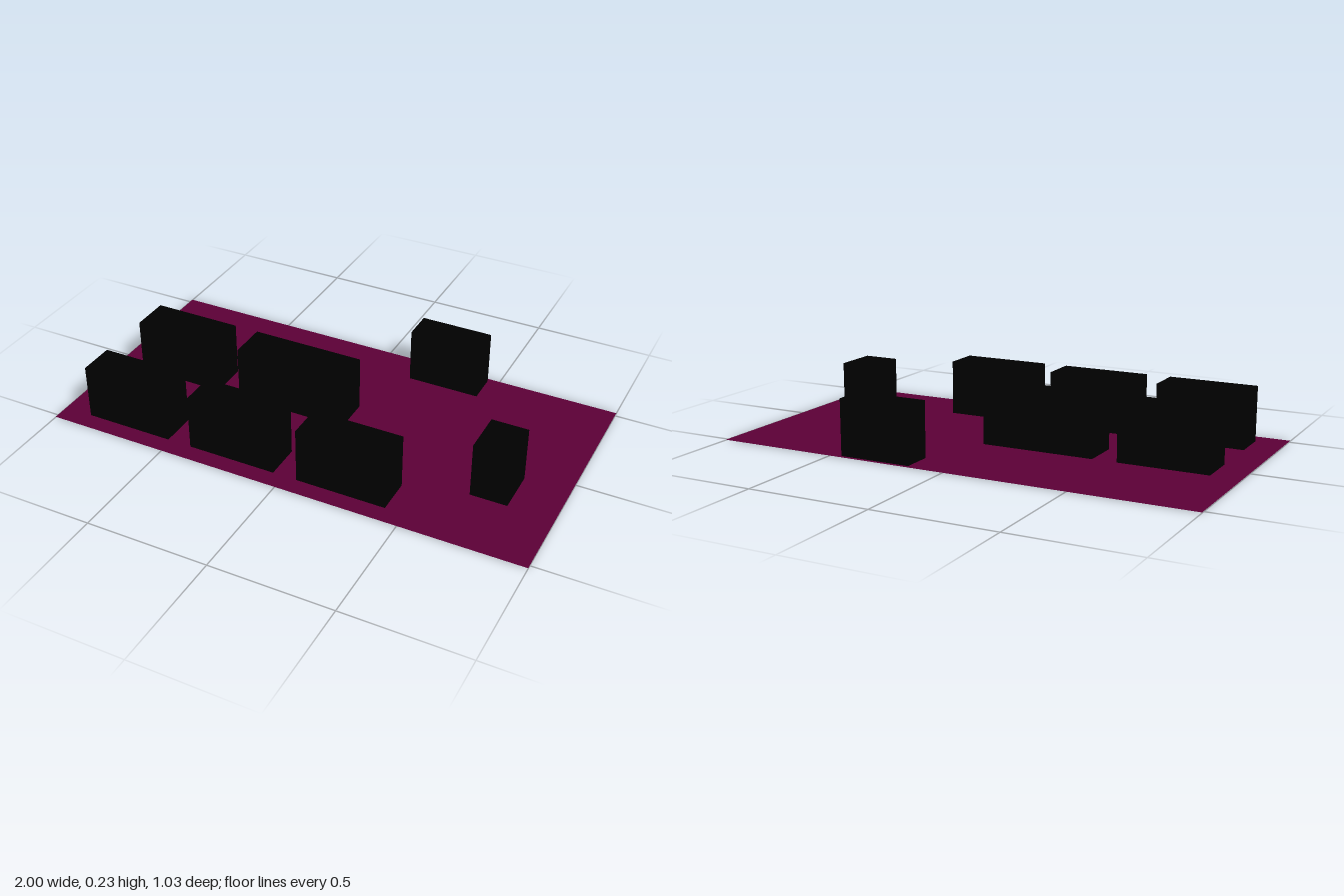
import * as THREE from 'three';

export function createModel() {
  const model = new THREE.Group();
  const H = 0.228;
  const black = new THREE.MeshStandardMaterial({ color: 0x000000 });

  // Thin floor sheet, just above the undersides of the blocks
  const floor = new THREE.Mesh(
    new THREE.PlaneGeometry(2, 1.034).rotateX(-Math.PI / 2),
    new THREE.MeshStandardMaterial({ color: 0x5c0036, side: THREE.DoubleSide })
  );
  floor.name = 'floor';
  floor.position.y = 0.002;
  model.add(floor);

  // Block from its x and z limits, standing on y = 0
  function block(name, x0, x1, z0, z1, height = H) {
    const mesh = new THREE.Mesh(new THREE.BoxGeometry(x1 - x0, height, z1 - z0), black);
    mesh.name = name;
    mesh.position.set((x0 + x1) / 2, height / 2, (z0 + z1) / 2);
    model.add(mesh);
  }

  // Front row of three equal blocks
  [-0.88, -0.412, 0.054].forEach((x, i) => block(`frontBlock${i + 1}`, x, x + 0.367, 0.295, 0.444));

  // Middle row
  block('middleBlock', -0.88, -0.513, -0.096, 0.064);
  block('middleLongBlock', -0.412, 0.056, -0.096, 0.064);

  // Separate blocks at the back and the left end
  block('backBlock', 0.154, 0.453, -0.501, -0.375);
  block('endBlock', 0.668, 0.816, 0.05, 0.232);

  return model;
}
